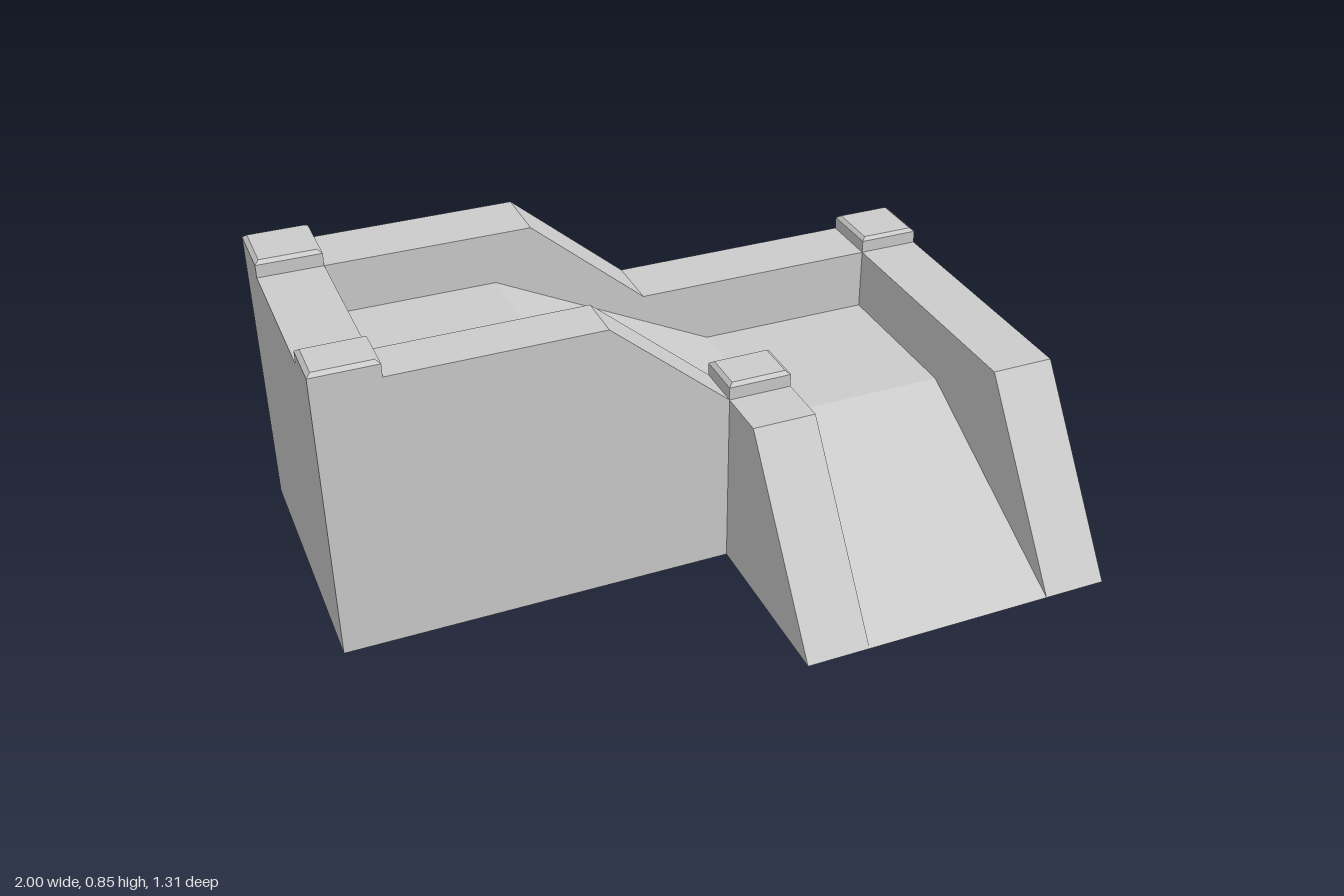
import * as THREE from 'three';

const HIGH = 0.805, LOW = 0.515;   // wall tops
const UPPER = 0.655, LOWER = 0.33; // floor levels
const BACK = -0.655, FRONT = 0.655;

export function createModel() {
  const group = new THREE.Group();
  const material = new THREE.MeshStandardMaterial({ color: 0xcccccc, flatShading: true });

  const add = (name, geometry) => {
    const mesh = new THREE.Mesh(geometry, material);
    mesh.name = name;
    group.add(mesh);
    return mesh;
  };
  const extrude = (points, depth) => new THREE.ExtrudeGeometry(
    new THREE.Shape(points.map(([a, b]) => new THREE.Vector2(a, b))),
    { depth, bevelEnabled: false });

  // (x, y) profile swept from z0 to z1
  const alongZ = (name, points, z0, z1) =>
    add(name, extrude(points, z1 - z0).translate(0, 0, z0));
  // (z, y) profile swept from x0 to x1
  const alongX = (name, points, x0, x1) =>
    add(name, extrude(points.map(([z, y]) => [-z, y]), x1 - x0).rotateY(Math.PI / 2).translate(x0, 0, 0));

  // Long parapets that step down with the upper ramp
  const parapet = (x1) => [[-1, 0], [x1, 0], [x1, LOW], [0.095, LOW], [-0.24, HIGH], [-1, HIGH]];
  alongZ('backWall', parapet(1), BACK, -0.475);
  alongZ('frontWall', parapet(0.275), 0, 0.14);

  // End wall at the upper landing
  alongX('upperEndWall', [[-0.475, 0], [0, 0], [0, HIGH], [-0.475, HIGH]], -1, -0.82);

  // Walls flanking the front ramp, sloping to the ground
  const rampWall = (z0) => [[z0, 0], [FRONT, 0], [0.29, LOW], [z0, LOW]];
  alongX('lowerEndWall', rampWall(-0.475), 0.82, 1);
  alongX('innerRampWall', rampWall(0.14), 0.095, 0.275);

  // Upper landing, side ramp and lower landing
  alongZ('floor', [[-0.82, 0], [0.82, 0], [0.82, LOWER], [0.3, LOWER], [-0.35, UPPER], [-0.82, UPPER]], -0.475, 0);

  // Ramp from the lower landing to the ground
  alongX('frontRamp', [[0, 0], [FRONT, 0], [0, LOWER]], 0.275, 0.82);

  // Post caps with a small chamfer round the top
  const cap = (name, x0, x1, z0, z1, y) => {
    const w = x1 - x0, d = z1 - z0, inset = 0.012;
    const g = new THREE.BoxGeometry(w, 0.046, d, 1, 2, 1).toNonIndexed();
    const p = g.attributes.position;
    for (let i = 0; i < p.count; i++) {
      if (p.getY(i) > 0.01) {
        p.setX(i, p.getX(i) * (1 - 2 * inset / w));
        p.setZ(i, p.getZ(i) * (1 - 2 * inset / d));
      } else if (p.getY(i) > -0.01) p.setY(i, 0.014);
    }
    g.computeVertexNormals();
    add(name, g).position.set((x0 + x1) / 2, y + 0.023, (z0 + z1) / 2);
  };
  cap('upperBackCap', -1, -0.82, BACK, -0.475, HIGH);
  cap('upperFrontCap', -1, -0.82, 0, 0.14, HIGH);
  cap('lowerBackCap', 0.82, 1, BACK, -0.475, LOW);
  cap('rampCap', 0.095, 0.275, 0, 0.14, LOW);

  return group;
}
